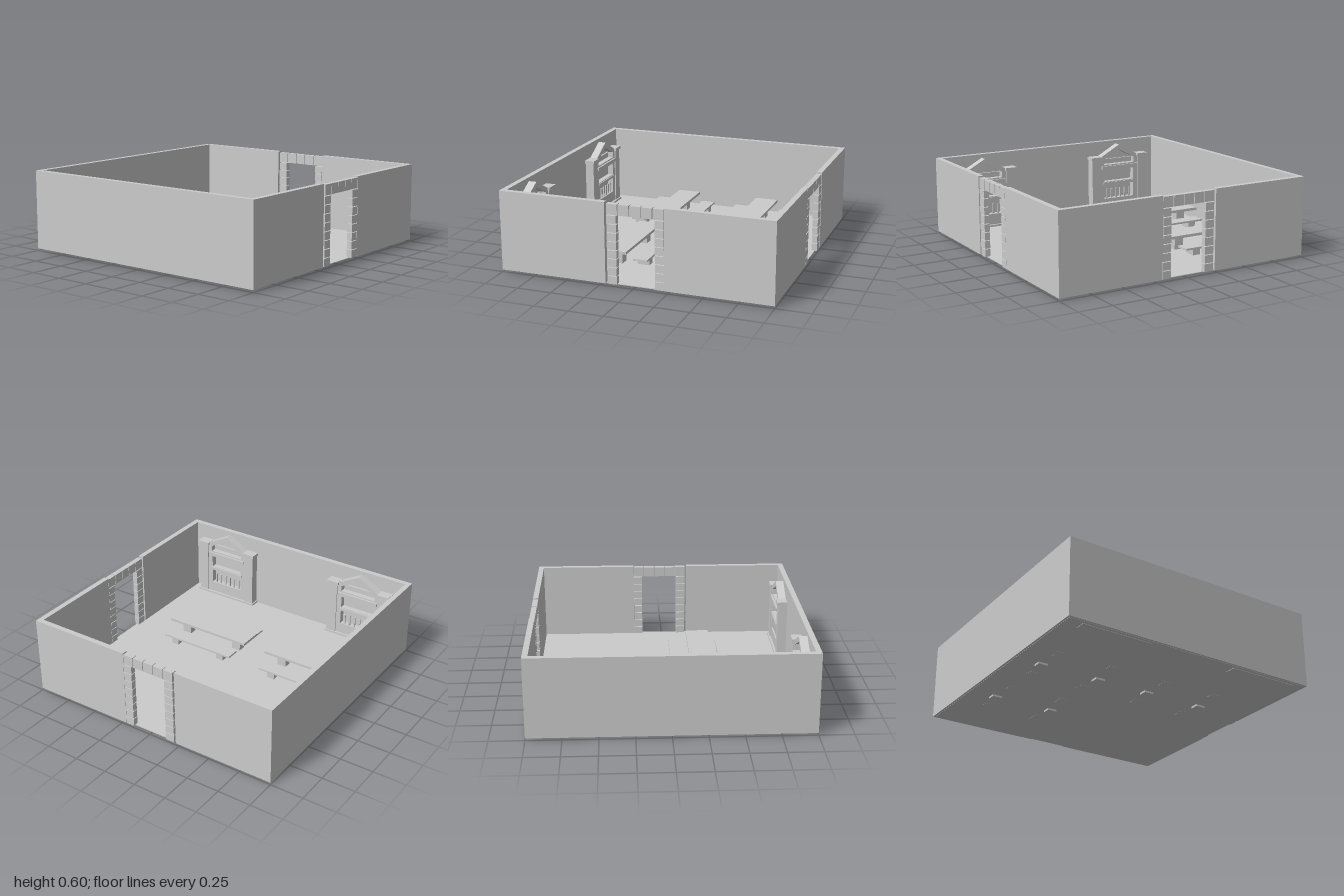
import * as THREE from 'three';

const mat = new THREE.MeshStandardMaterial({ color: 0xcccccc, flatShading: true });

// Box given by its min and max on each axis
function box(parent, name, x0, x1, y0, y1, z0, z1) {
  const m = new THREE.Mesh(new THREE.BoxGeometry(x1 - x0, y1 - y0, z1 - z0), mat);
  m.position.set((x0 + x1) / 2, (y0 + y1) / 2, (z0 + z1) / 2);
  m.name = name;
  parent.add(m);
  return m;
}

function group(parent, name) {
  const g = new THREE.Group();
  g.name = name;
  parent.add(g);
  return g;
}

// Stone door surround running along x, with the opening to the floor
function doorFrame(parent, name) {
  const g = group(parent, name);
  const t = 0.02;
  for (let i = 0; i < 8; i++) {
    const y0 = 0.017 + i * 0.0622;
    box(g, 'jambStone', -0.19, -0.12, y0, y0 + 0.057, -t, t);
    box(g, 'jambStone', 0.16, 0.225, y0, y0 + 0.057, -t, t);
  }
  for (let i = 0; i < 5; i++) {
    const x0 = -0.19 + i * 0.0838;
    box(g, 'lintelStone', x0, x0 + 0.079, 0.516, 0.592, -t, t);
  }
  return g;
}

// Table with a bench on either side, centred on x and z
function tableSet(parent, x, z) {
  const g = group(parent, 'tableSet');
  g.position.set(x, 0, z);
  box(g, 'tableTop', -0.09, 0.09, 0.12, 0.14, -0.35, 0.35);
  for (const s of [-1, 1]) {
    const zt = s * 0.233;
    box(g, 'tableLeg', -0.03, 0.03, 0, 0.12, zt - 0.037, zt + 0.037);
    const xb = s > 0 ? 0.18 : -0.197;
    box(g, 'benchSeat', xb - 0.053, xb + 0.053, 0.066, 0.08, -0.303, 0.307);
    for (const e of [-1, 1]) {
      const zb = e * 0.21;
      box(g, 'benchLeg', xb - 0.045, xb + 0.045, 0.013, 0.066, zb - 0.03, zb + 0.03);
    }
  }
}

function polygon(PathType, pts) {
  return new PathType(pts.map(p => new THREE.Vector2(...p)));
}

// Gabled hearth with pillars and two niches, facing +x from the left wall
function hearth(parent, z) {
  const g = group(parent, 'hearth');
  g.position.set(-0.96, 0, z);
  box(g, 'plinth', 0, 0.078, 0.011, 0.035, -0.27, 0.27);
  box(g, 'backPanel', 0, 0.015, 0.03, 0.45, -0.18, 0.18);
  for (const s of [-1, 1]) {
    const c = s * 0.22;
    box(g, 'pillar', 0, 0.068, 0.03, 0.46, c - 0.04, c + 0.04);
    box(g, 'pillarCap', 0, 0.078, 0.46, 0.482, c - 0.05, c + 0.05);
  }

  // Face with niche openings and an open gable
  const face = polygon(THREE.Shape, [[-0.18, 0.03], [0.18, 0.03], [0.18, 0.475], [0, 0.572], [-0.18, 0.475]]);
  face.holes.push(
    polygon(THREE.Path, [[-0.14, 0.12], [-0.14, 0.235], [0.14, 0.235], [0.14, 0.12]]),
    polygon(THREE.Path, [[-0.14, 0.265], [-0.14, 0.36], [0.14, 0.36], [0.14, 0.265]]),
    polygon(THREE.Path, [[-0.145, 0.41], [-0.145, 0.455], [0, 0.53], [0.145, 0.455], [0.145, 0.41]])
  );
  const geo = new THREE.ExtrudeGeometry(face, { depth: 0.06, bevelEnabled: false });
  geo.rotateY(Math.PI / 2);
  const m = new THREE.Mesh(geo, mat);
  m.name = 'hearthFace';
  g.add(m);

  box(g, 'mantel', 0, 0.074, 0.375, 0.4, -0.17, 0.17);
  box(g, 'nicheShelf', 0, 0.068, 0.243, 0.26, -0.15, 0.15);
  // Grate bars across the lower niche
  for (let i = 0; i < 6; i++) {
    const c = -0.11 + i * 0.044;
    box(g, 'grateBar', 0.04, 0.05, 0.12, 0.2, c - 0.007, c + 0.007);
  }
}

export function createModel() {
  const root = new THREE.Group();
  root.name = 'diningHall';
  const y0 = 0.016, y1 = 0.6, inner = 0.96;

  box(root, 'floor', -0.985, 0.985, 0.014, 0.02, -0.985, 0.985);

  // Walls, split where the two doorways stand
  box(root, 'backWall', -1, 1, y0, y1, -1, -inner);
  box(root, 'leftSideWall', -1, -inner, y0, y1, -inner, 1);
  box(root, 'frontWall', -inner, -0.205, y0, y1, inner, 1);
  box(root, 'frontWall', 0.227, 1, y0, y1, inner, 1);
  box(root, 'rightSideWall', inner, 1, y0, y1, -inner, -0.225);
  box(root, 'rightSideWall', inner, 1, y0, y1, 0.207, inner);

  doorFrame(root, 'frontDoorFrame').position.z = 0.98;
  const side = doorFrame(root, 'sideDoorFrame');
  side.rotation.y = -Math.PI / 2;
  side.position.set(0.98, 0, -0.02);

  tableSet(root, -0.275, -0.55);
  tableSet(root, 0.393, -0.55);
  tableSet(root, -0.275, 0.335);

  hearth(root, -0.6);
  hearth(root, 0.63);
  return root;
}
